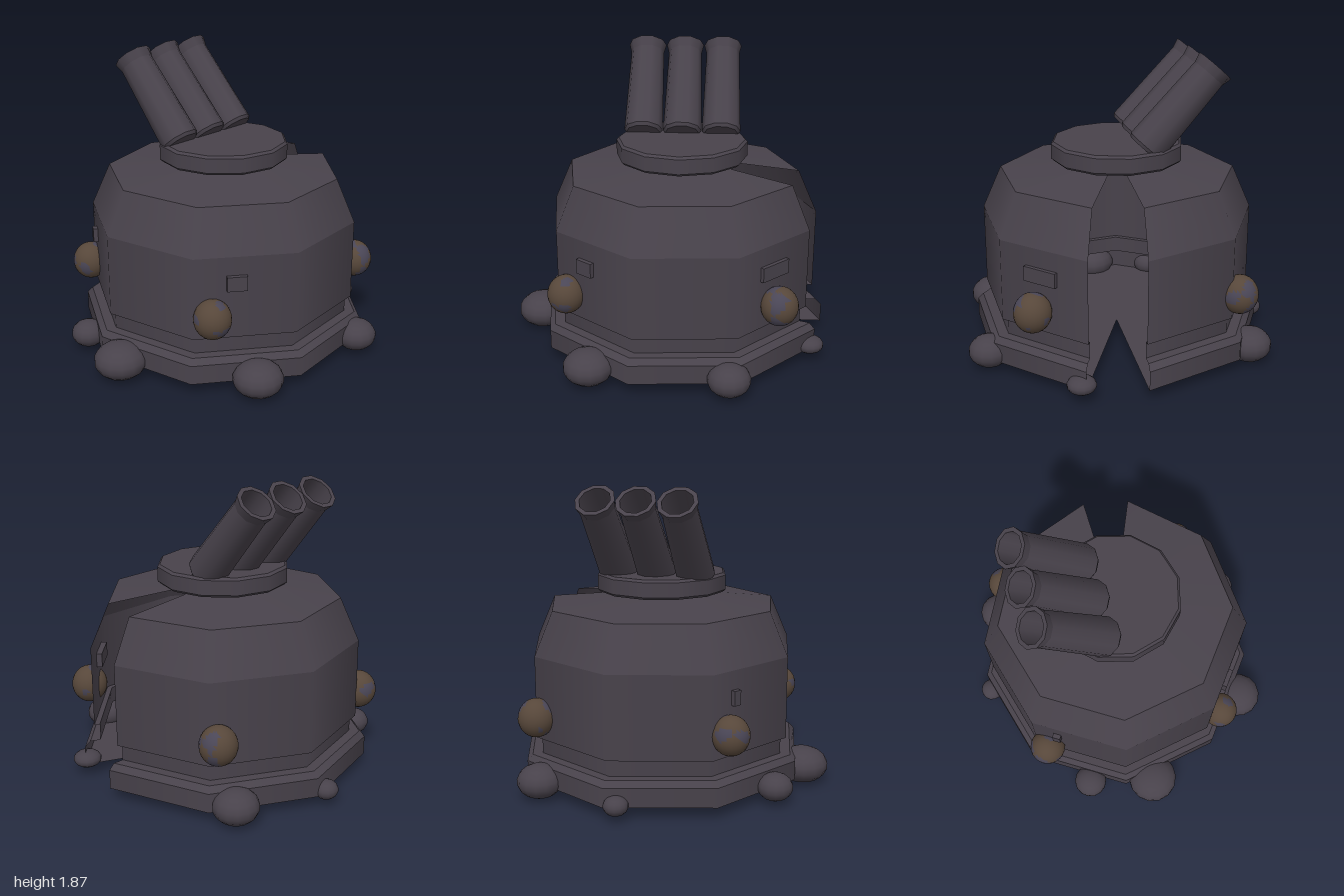
import * as THREE from 'three';
import { mergeGeometries, mergeVertices } from 'three/addons/utils/BufferGeometryUtils.js';

const CX = 0.08; // axis of the hull

// Lathe with sharp edges between profile bands, smooth around
function bandedLathe(profile, segments, start = 0, length = Math.PI * 2) {
  const bands = [];
  for (let i = 0; i < profile.length - 1; i++) {
    const pair = [profile[i], profile[i + 1]].map(([r, y]) => new THREE.Vector2(r, y));
    bands.push(new THREE.LatheGeometry(pair, segments, start, length));
  }
  return mergeGeometries(bands);
}

// Sphere whose faces are sorted into two material groups by a wavy rule
function patchedSphere(radius, seed) {
  const source = new THREE.SphereGeometry(radius, 24, 16);
  const p = source.attributes.position;
  const index = source.index.array;
  const faces = [[], []];
  for (let i = 0; i < index.length; i += 3) {
    const c = [0, 0, 0];
    for (let k = 0; k < 3; k++) {
      c[0] += p.getX(index[i + k]) / (3 * radius);
      c[1] += p.getY(index[i + k]) / (3 * radius);
      c[2] += p.getZ(index[i + k]) / (3 * radius);
    }
    const wave = Math.sin(4 * c[0] + seed) + Math.sin(4.5 * c[1] + 1.3 * seed + 2 * c[2])
      + Math.sin(5 * c[2] - seed + 2 * c[0]);
    faces[wave > 0.95 ? 1 : 0].push(index[i], index[i + 1], index[i + 2]);
  }
  source.setIndex([...faces[0], ...faces[1]]);
  source.clearGroups();
  source.addGroup(0, faces[0].length, 0);
  source.addGroup(faces[0].length, faces[1].length, 1);
  return source;
}

export function createModel() {
  const model = new THREE.Group();
  model.name = 'turret';
  const metal = new THREE.MeshStandardMaterial({ color: 0x48424b, side: THREE.DoubleSide });
  metal.name = 'dark metal';
  const rust = new THREE.MeshStandardMaterial({ color: 0x57473a });
  rust.name = 'rust brown';
  const slate = new THREE.MeshStandardMaterial({ color: 0x4a4656 });
  slate.name = 'slate patch';

  const add = (name, geometry, material, x, y, z, parent = model) => {
    const mesh = new THREE.Mesh(geometry, material);
    mesh.name = name;
    mesh.position.set(x, y, z);
    parent.add(mesh);
    return mesh;
  };

  // Hollow eight-sided hull with a doorway wedge left open
  const hullProfile = [
    [0, 0.08], [0.92, 0.08], [0.92, 0.2], [0.885, 0.235], [0.82, 0.235], [0.82, 0.34],
    [0.855, 0.34], [0.855, 0.85], [0.735, 1.12], [0, 1.2],
  ];
  add('hull', bandedLathe(hullProfile, 8, Math.PI / 2, Math.PI * 2 * 15 / 16), metal, CX, 0, 0);

  // Round gun platform
  const plateProfile = [
    [0, 1.2], [0.395, 1.2], [0.41, 1.215], [0.41, 1.305], [0.395, 1.32], [0, 1.32],
  ];
  add('gunPlatform', bandedLathe(plateProfile, 12), metal, CX, 0, 0);

  // Three hollow barrels leaning backwards
  const barrelProfile = [
    [0, 0], [0.108, 0], [0.122, 0.02], [0.107, 0.58], [0.122, 0.64],
    [0.095, 0.64], [0.088, 0.1], [0, 0.1],
  ];
  const barrelGeometry = bandedLathe(barrelProfile, 10, Math.PI / 10);
  const barrels = new THREE.Group();
  barrels.name = 'barrels';
  model.add(barrels);
  for (const x of [-0.172, 0.075, 0.322]) {
    add('barrel', barrelGeometry, metal, x, 1.317, -0.117, barrels).rotation.x = -0.724;
  }

  // Flattened boulders around the foot: x, y, z, radius, half height
  const boulders = [
    [-0.838, 0.12, 0.005, 0.163, 0.112], [-0.74, 0.115, -0.41, 0.108, 0.085],
    [0.09, 0.1, -0.91, 0.075, 0.058], [0.64, 0.12, -0.715, 0.14, 0.105],
    [0.9, 0.108, 0.375, 0.088, 0.052], [0.402, 0.12, 0.855, 0.13, 0.098],
    [-0.435, 0.12, 0.755, 0.153, 0.108],
  ];
  const boulderGeometry = mergeVertices(new THREE.SphereGeometry(1, 14, 9));
  for (const [x, y, z, r, h] of boulders) {
    add('boulder', boulderGeometry, metal, x, y, z).scale.set(r, h, r);
  }

  // Patchy globes on the wall
  [[-0.59, 0.535], [0.69, 0.62], [0.69, -0.625], [-0.515, -0.63]].forEach(([x, z], i) => {
    add('globe', patchedSphere(0.113, 1 + i * 1.7), [rust, slate], x, 0.485, z).scale.y = 1.06;
  });

  // Small raised blocks above the globes: x, z, width, facing angle
  const blocks = [
    [0.645, 0.555, 0.22, 0.80], [-0.45, 0.595, 0.12, -0.66], [-0.515, -0.55, 0.05, -2.13],
  ];
  for (const [x, z, width, facing] of blocks) {
    add('wallBlock', new THREE.BoxGeometry(width, 0.09, 0.06), metal, x, 0.69, z).rotation.y = facing;
  }
  return model;
}
